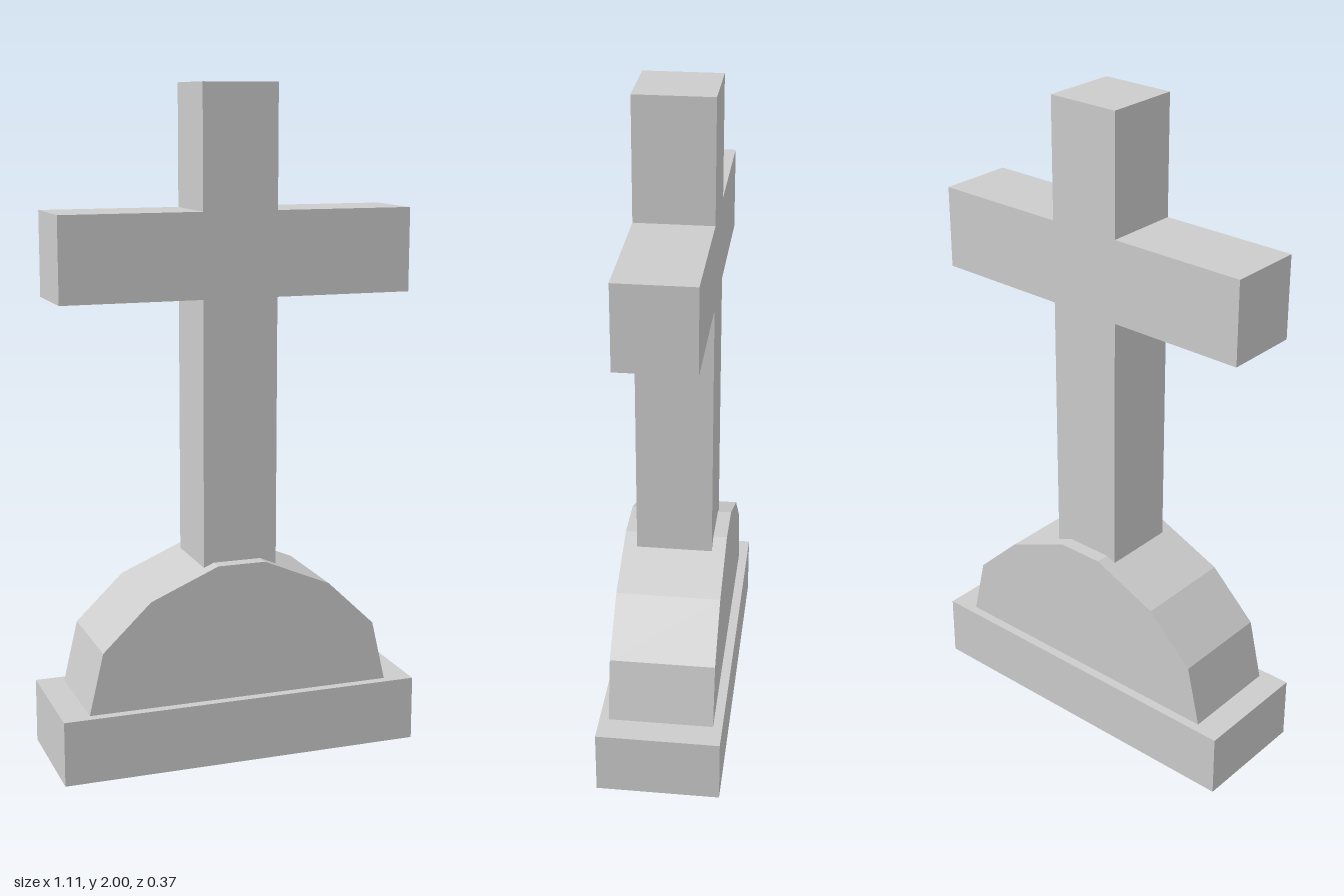
import * as THREE from 'three';

const material = new THREE.MeshStandardMaterial({ color: 0xcccccc, flatShading: true });

// Outline in the front plane, extruded evenly about z = 0
function slab(name, points, depth) {
  const shape = new THREE.Shape(points.map(([x, y]) => new THREE.Vector2(x, y)));
  const geometry = new THREE.ExtrudeGeometry(shape, { depth, bevelEnabled: false });
  geometry.translate(0, 0, -depth / 2);
  const mesh = new THREE.Mesh(geometry, material);
  mesh.name = name;
  return mesh;
}

export function createModel() {
  const group = new THREE.Group();
  group.name = 'graveCross';

  // Plinth
  const plinth = new THREE.Mesh(new THREE.BoxGeometry(1.105, 0.195, 0.368), material);
  plinth.name = 'plinth';
  plinth.position.y = 0.0975;
  group.add(plinth);

  // Faceted mound, mirrored from its right half
  const half = [[0.469, 0.195], [0.426, 0.38], [0.28, 0.52], [0.073, 0.608]];
  const mirrored = half.map(([x, y]) => [-x, y]).reverse();
  group.add(slab('mound', [...half, ...mirrored], 0.312));

  // Cross in one piece, its foot sunk into the mound
  const [left, right, armLeft, armRight] = [-0.104, 0.123, -0.526, 0.542];
  const [foot, armBottom, armTop, top] = [0.56, 1.39, 1.64, 2];
  group.add(slab('cross', [
    [left, foot], [right, foot], [right, armBottom], [armRight, armBottom],
    [armRight, armTop], [right, armTop], [right, top], [left, top],
    [left, armTop], [armLeft, armTop], [armLeft, armBottom], [left, armBottom],
  ], 0.229));

  return group;
}
